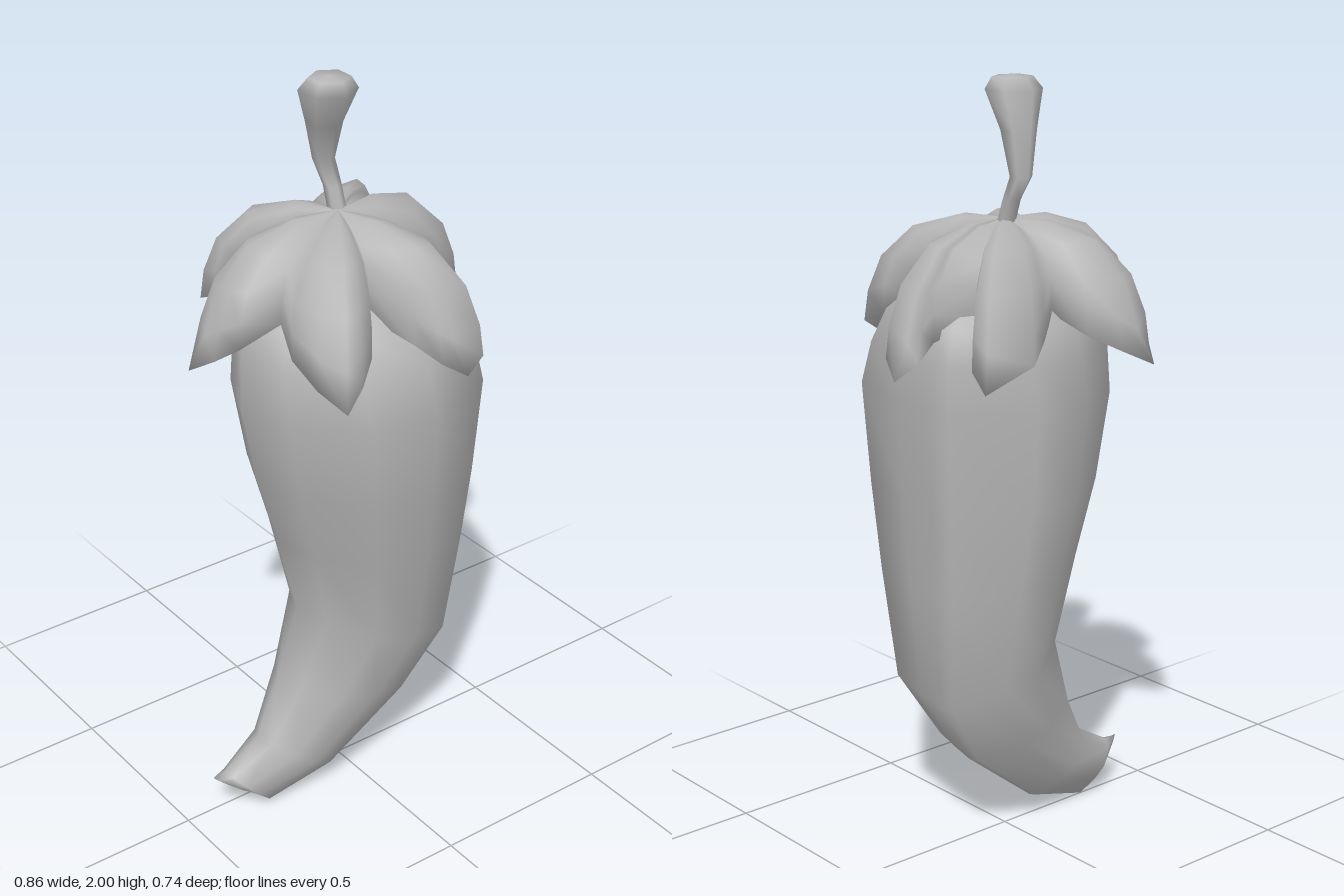
import * as THREE from 'three';

const grey = new THREE.MeshStandardMaterial({ color: 0xb4b4b4, side: THREE.DoubleSide });
grey.name = 'grey';

// Skin closed rings of points, ordered from top to bottom, with smooth normals
function loft(name, rings) {
  const n = rings[0].length, index = [];
  for (let i = 0; i < rings.length - 1; i++) {
    for (let j = 0; j < n; j++) {
      const a = i * n + j, b = i * n + (j + 1) % n;
      index.push(a, b, a + n, b, b + n, a + n);
    }
  }
  const geometry = new THREE.BufferGeometry();
  geometry.setAttribute('position', new THREE.Float32BufferAttribute(rings.flat(2), 3));
  geometry.setIndex(index);
  geometry.computeVertexNormals();
  const mesh = new THREE.Mesh(geometry, grey);
  mesh.name = name;
  return mesh;
}

// Curved pod: each section spans a left and a right point, with front and back depth
function makePod() {
  const outline = [[1, -0.36], [0.92, 0.15], [0.8, 0.78], [0.15, 1], [-0.4, 0.86],
    [-0.88, 0.38], [-1, -0.12], [-0.78, -0.6], [-0.15, -1], [0.3, -0.92], [0.95, -0.55]];
  // leftX, leftY, rightX, rightY, frontZ, backZ
  const sections = [
    [0, 1.58, 0, 1.58, 0, 0],
    [-0.13, 1.55, 0.14, 1.55, 0.12, -0.12],
    [-0.26, 1.42, 0.285, 1.42, 0.24, -0.23],
    [-0.287, 1.33, 0.303, 1.33, 0.295, -0.25],
    [-0.295, 1.19, 0.312, 1.22, 0.335, -0.268],
    [-0.25, 0.97, 0.297, 0.95, 0.31, -0.252],
    [-0.19, 0.77, 0.285, 0.72, 0.27, -0.22],
    [-0.135, 0.54, 0.26, 0.42, 0.22, -0.175],
    [-0.205, 0.34, 0.15, 0.24, 0.165, -0.125],
    [-0.28, 0.19, -0.08, 0.06, 0.12, -0.07],
    [-0.39, 0.125, -0.27, 0.0, 0.08, -0.03],
    [-0.43, 0.125, -0.29, 0.01, 0.045, 0.005],
    [-0.36, 0.065, -0.36, 0.065, 0.025, 0.025],
  ];
  return loft('pod', sections.map(([lx, ly, rx, ry, front, back]) =>
    outline.map(([u, v]) => [
      (lx + rx) / 2 + u * (rx - lx) / 2,
      (ly + ry) / 2 + u * (ry - ly) / 2,
      (front + back) / 2 + v * (front - back) / 2,
    ])));
}

// Leafy cap: six drooping leaves around the stem
function makeCap() {
  // plan points of each leaf: notch, side, shoulder, tip, shoulder, side
  const leaves = [
    [[0.2, -0.13], [0.3, -0.085], [0.36, -0.1], [0.425, -0.09], [0.38, 0], [0.28, 0.07]],
    [[0.19, 0.14], [0.185, 0.26], [0.17, 0.36], [0.115, 0.37], [0.06, 0.34], [0.02, 0.28]],
    [[-0.04, 0.18], [-0.1, 0.27], [-0.16, 0.315], [-0.235, 0.355], [-0.26, 0.27], [-0.262, 0.17]],
    [[-0.23, 0.08], [-0.33, 0.05], [-0.37, 0], [-0.41, -0.055], [-0.36, -0.09], [-0.3, -0.115]],
    [[-0.2, -0.15], [-0.215, -0.23], [-0.205, -0.31], [-0.165, -0.37], [-0.1, -0.325], [-0.03, -0.275]],
    [[0.02, -0.2], [0.085, -0.245], [0.16, -0.295], [0.345, -0.33], [0.31, -0.24], [0.26, -0.19]],
  ];
  // [share of the plan distance, height] from the centre outward
  const notch = [[0, 1.65], [0.35, 1.635], [0.65, 1.61], [0.88, 1.57], [0.97, 1.52], [1, 1.44]];
  const side = [[0, 1.65], [0.35, 1.642], [0.7, 1.605], [0.92, 1.53], [0.99, 1.46], [1, 1.39]];
  const shoulder = [[0, 1.65], [0.32, 1.647], [0.64, 1.61], [0.87, 1.525], [0.97, 1.43], [1, 1.35]];
  const tip = [[0, 1.65], [0.3, 1.65], [0.6, 1.61], [0.8, 1.515], [0.89, 1.4], [1, 1.315]];
  const profiles = [notch, side, shoulder, tip, shoulder, side];
  const ring = (row, scale, drop) => leaves.flatMap(leaf => leaf.map(([x, z], k) => {
    const [share, y] = profiles[k][row];
    return [x * share * scale, y - drop, z * share * scale];
  }));
  const top = notch.map((_, row) => ring(row, 1, 0));
  const underside = [4, 3, 2].map(row => ring(row, 0.93, 0.02));
  return loft('leafCap', [...top, ...underside]);
}

// Bent stem flaring to a blunt end
function makeStem() {
  // x, y, z, radius
  const stops = [[-0.025, 2, 0, 0], [-0.025, 1.995, 0, 0.052], [-0.027, 1.965, -0.003, 0.073],
    [-0.015, 1.87, -0.035, 0.046], [0.008, 1.76, -0.07, 0.028], [0.012, 1.7, -0.04, 0.023],
    [0.01, 1.62, -0.01, 0.024]];
  return loft('stem', stops.map(([x, y, z, r]) =>
    Array.from({ length: 6 }, (_, i) => {
      const a = (i + 0.5) * Math.PI / 3;
      return [x + r * Math.cos(a), y, z + r * Math.sin(a)];
    })));
}

export function createModel() {
  const model = new THREE.Group();
  model.name = 'chilliPepper';
  model.add(makePod(), makeCap(), makeStem());
  return model;
}
